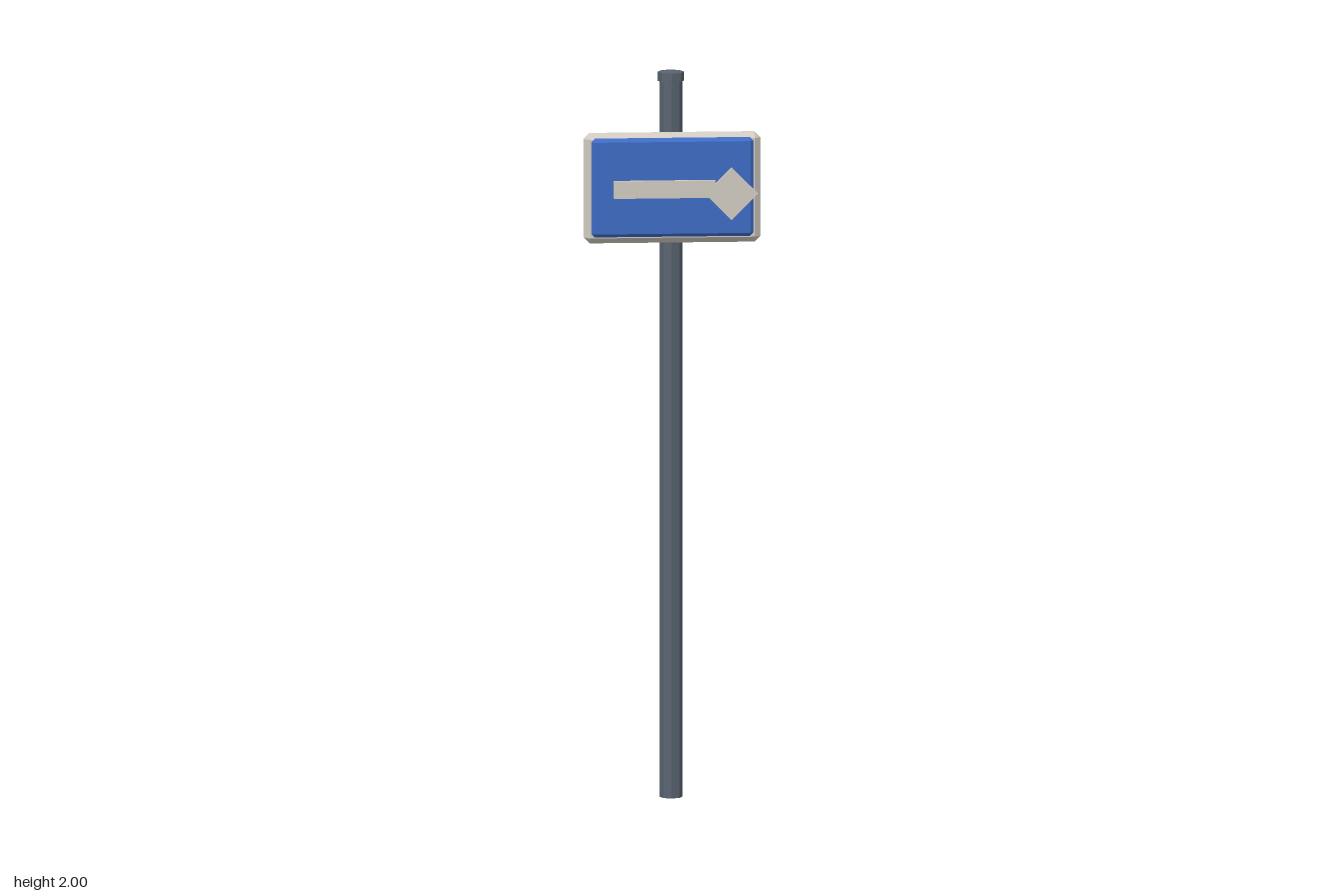
import * as THREE from 'three';
import { ConvexGeometry } from 'three/addons/geometries/ConvexGeometry.js';

// Box with every edge and corner cut off by c: each corner becomes a triangle
function chamferBox(w, h, d, c) {
  const points = [];
  for (const sx of [-1, 1]) for (const sy of [-1, 1]) for (const sz of [-1, 1]) {
    for (let axis = 0; axis < 3; axis++) {
      const p = [w / 2 - c, h / 2 - c, d / 2 - c];
      p[axis] += c;
      points.push(new THREE.Vector3(sx * p[0], sy * p[1], sz * p[2]));
    }
  }
  return new ConvexGeometry(points);
}

export function createModel() {
  const steel = new THREE.MeshStandardMaterial({ name: 'slate steel', color: 0x596470, flatShading: true });
  const white = new THREE.MeshStandardMaterial({ name: 'warm off-white', color: 0xd1cbc1, flatShading: true });
  const blue = new THREE.MeshStandardMaterial({ name: 'sign blue', color: 0x3e6bc4, flatShading: true });

  const model = new THREE.Group();
  model.name = 'directionSign';
  const add = (name, geometry, material, x, y, z) => {
    const mesh = new THREE.Mesh(geometry, material);
    mesh.name = name;
    mesh.position.set(x, y, z);
    model.add(mesh);
    return mesh;
  };

  // Octagonal post with a slightly wider cap
  add('post', new THREE.CylinderGeometry(0.031, 0.031, 1.98, 8), steel, 0, 0.99, -0.025);
  add('postCap', new THREE.CylinderGeometry(0.036, 0.036, 0.025, 8), steel, 0, 1.9875, -0.025);

  // Chamfered backing board and the blue panel set into its front
  const signY = 1.688;
  add('signBoard', chamferBox(0.482, 0.304, 0.036, 0.016), white, 0, signY, 0.018);
  add('signPanel', chamferBox(0.442, 0.272, 0.031, 0.0095), blue, 0, signY + 0.003, 0.0315);

  // Raised arrow: straight shaft and a square head turned on its corner
  add('arrowShaft', new THREE.BoxGeometry(0.277, 0.048, 0.022), white, -0.0225, signY, 0.047);
  const side = 0.072 * Math.SQRT2;
  const head = add('arrowHead', new THREE.BoxGeometry(side, side, 0.022), white, 0.16, 1.674, 0.047);
  head.rotation.z = Math.PI / 4;

  return model;
}
